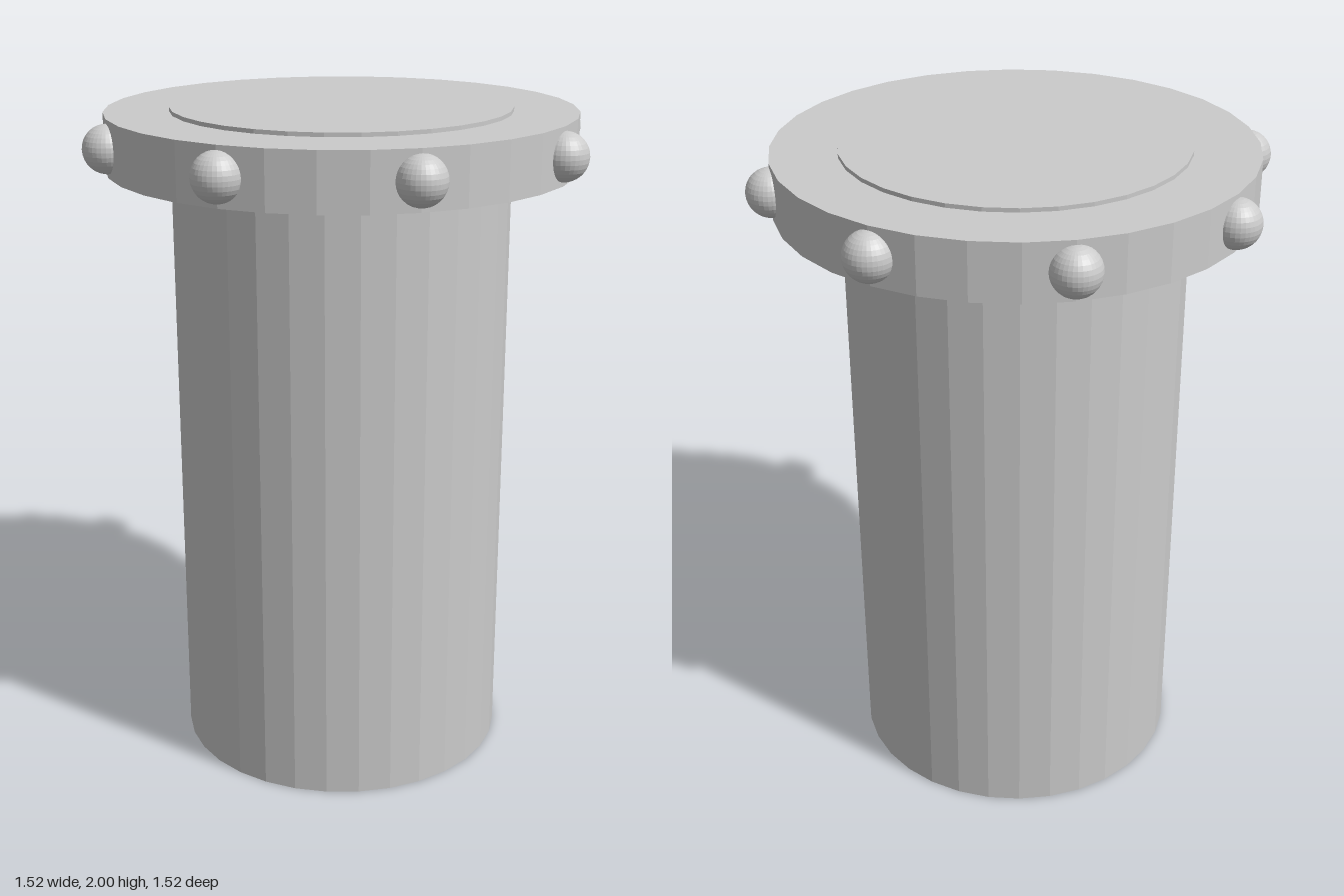
import * as THREE from 'three';

export function createModel() {
  const model = new THREE.Group();
  const material = new THREE.MeshStandardMaterial({ color: 0xcccccc, flatShading: true });

  function add(name, geometry, x, y, z) {
    const mesh = new THREE.Mesh(geometry, material);
    mesh.name = name;
    mesh.position.set(x, y, z);
    model.add(mesh);
  }

  // Main column
  add('column', new THREE.CylinderGeometry(0.5, 0.5, 2, 32), 0, 1, 0);

  // Collar just below the top of the column
  const collarY = 1.905;
  const collarRadius = 0.69;
  add('collar', new THREE.CylinderGeometry(collarRadius, collarRadius, 0.166, 32), 0, collarY, 0);

  // Eight studs half sunk into the collar rim
  const studGeometry = new THREE.SphereGeometry(0.07, 32, 16);
  for (let i = 0; i < 8; i++) {
    const angle = (i / 8) * Math.PI * 2;
    add(`stud${i + 1}`, studGeometry, Math.sin(angle) * collarRadius, collarY, Math.cos(angle) * collarRadius);
  }

  return model;
}
